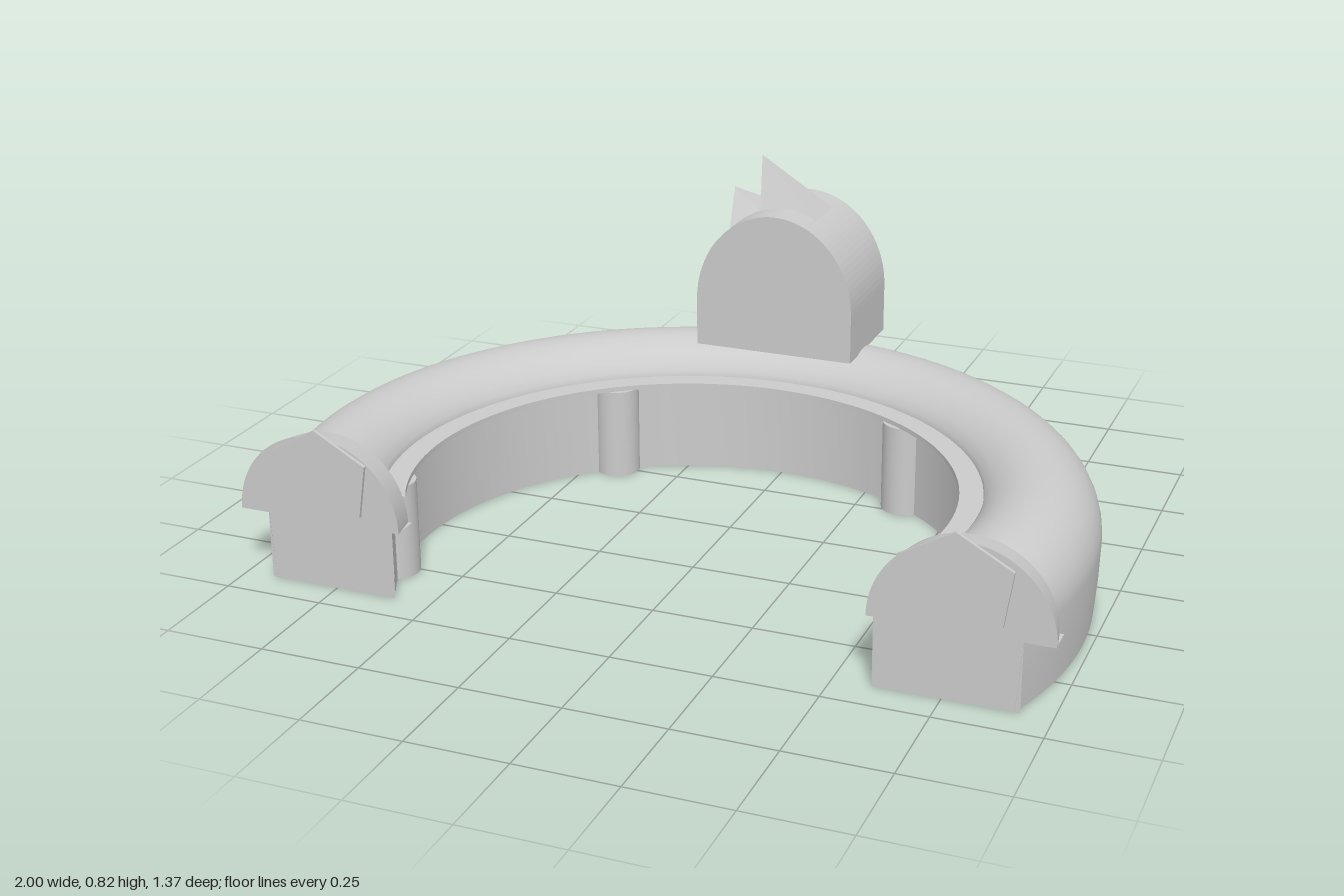
import * as THREE from 'three';

const CZ = 0.31; // centre of the ring in z

export function createModel() {
  const group = new THREE.Group();
  const smooth = new THREE.MeshStandardMaterial({ color: 0xcccccc, side: THREE.DoubleSide });
  const flat = new THREE.MeshStandardMaterial({ color: 0xcccccc, side: THREE.DoubleSide, flatShading: true });

  function add(name, geometry, material, x = 0, y = 0, z = 0) {
    const mesh = new THREE.Mesh(geometry, material);
    mesh.name = name;
    mesh.position.set(x, y, z);
    group.add(mesh);
    return mesh;
  }

  // Lathe whose open ends are cut by one straight plane at the given z
  function openRing(name, profile, cutZ) {
    const geo = new THREE.LatheGeometry(profile.map(p => new THREE.Vector2(...p)), 72);
    const pos = geo.attributes.position;
    for (let i = 0; i < pos.count; i++) {
      const r = profile[i % profile.length][0];
      const t = Math.floor(i / profile.length) / 72;
      const start = Math.acos((cutZ - CZ) / r);
      const a = start + t * (2 * Math.PI - 2 * start);
      pos.setXYZ(i, r * Math.sin(a), pos.getY(i), r * Math.cos(a));
    }
    geo.computeVertexNormals();
    add(name, geo, smooth, 0, 0, CZ);
  }

  // Hollow ring: outer wall running into a rounded top
  const shell = [[0.98, 0], [0.987, 0.09]];
  for (let i = 0; i <= 14; i++) {
    const a = (i / 14) * 2.56;
    shell.push([0.84 + 0.15 * Math.cos(a), 0.18 + 0.155 * Math.sin(a)]);
  }
  shell.push([0.712, 0.25]);
  openRing('ringShell', shell, 0.665);
  openRing('innerWall', [[0.69, 0.25], [0.69, 0]], 0.665);
  // Thin lip along the inside
  openRing('lipTop', [[0.715, 0.25], [0.655, 0.25]], 0.6);
  openRing('lipEdge', [[0.655, 0.25], [0.655, 0.238]], 0.6);
  openRing('lipUnderside', [[0.655, 0.238], [0.69, 0.238]], 0.6);

  // Pegs under the lip
  for (const [x, z] of [[-0.42, -0.25], [0.37, -0.284], [-0.668, 0.52], [0.668, 0.52]]) {
    add('peg', new THREE.CylinderGeometry(0.058, 0.058, 0.238, 24), smooth, x, 0.119, z);
  }

  // Ring ends: flat face, flared half-round collar and hexagonal plate
  for (const side of [-1, 1]) {
    add('endFace', new THREE.PlaneGeometry(0.333, 0.18), smooth, side * 0.76, 0.09, 0.664);

    const collar = new THREE.CylinderGeometry(0.213, 0.2, 0.07, 32, 1, false, Math.PI / 2, Math.PI);
    collar.rotateX(Math.PI / 2);
    add('collar', collar, smooth, side * 0.787, 0.17, 0.63);
    const underside = new THREE.PlaneGeometry(0.42, 0.07).rotateX(Math.PI / 2);
    add('collarUnderside', underside, smooth, side * 0.787, 0.17, 0.63);

    const hex = [[0, 0.41], [0.13, 0.337], [0.11, 0.205], [0, 0.14], [-0.11, 0.205], [-0.13, 0.337]];
    const plate = new THREE.ExtrudeGeometry(
      new THREE.Shape(hex.map(p => new THREE.Vector2(...p))), { depth: 0.009, bevelEnabled: false });
    add('endPlate', plate, flat, side * 0.775, 0, 0.676);
  }

  // Arched block standing on the back of the ring
  const arch = new THREE.Shape();
  arch.moveTo(-0.215, 0.328);
  arch.lineTo(0.215, 0.328);
  arch.lineTo(0.215, 0.455);
  arch.absellipse(0, 0.455, 0.215, 0.247, 0, Math.PI, false);
  arch.closePath();
  const block = new THREE.ExtrudeGeometry(arch, { depth: 0.285, bevelEnabled: false, curveSegments: 24 });
  add('archedBlock', block, smooth, -0.035, 0, -0.685);

  // Leaning four-sided spikes on top of the block
  function spike(name, apex, base) {
    const positions = [];
    base.forEach((p, i) => positions.push(...apex, ...p, ...base[(i + 1) % base.length]));
    const geo = new THREE.BufferGeometry();
    geo.setAttribute('position', new THREE.Float32BufferAttribute(positions, 3));
    geo.computeVertexNormals();
    add(name, geo, flat);
  }
  spike('largeSpike', [-0.12, 0.825, -0.543],
    [[-0.1, 0.68, -0.475], [0.055, 0.68, -0.475], [0.055, 0.68, -0.61], [-0.1, 0.68, -0.61]]);
  spike('smallSpike', [-0.197, 0.73, -0.543],
    [[-0.18, 0.64, -0.46], [-0.1, 0.685, -0.485], [-0.1, 0.685, -0.6], [-0.18, 0.64, -0.627]]);

  return group;
}
